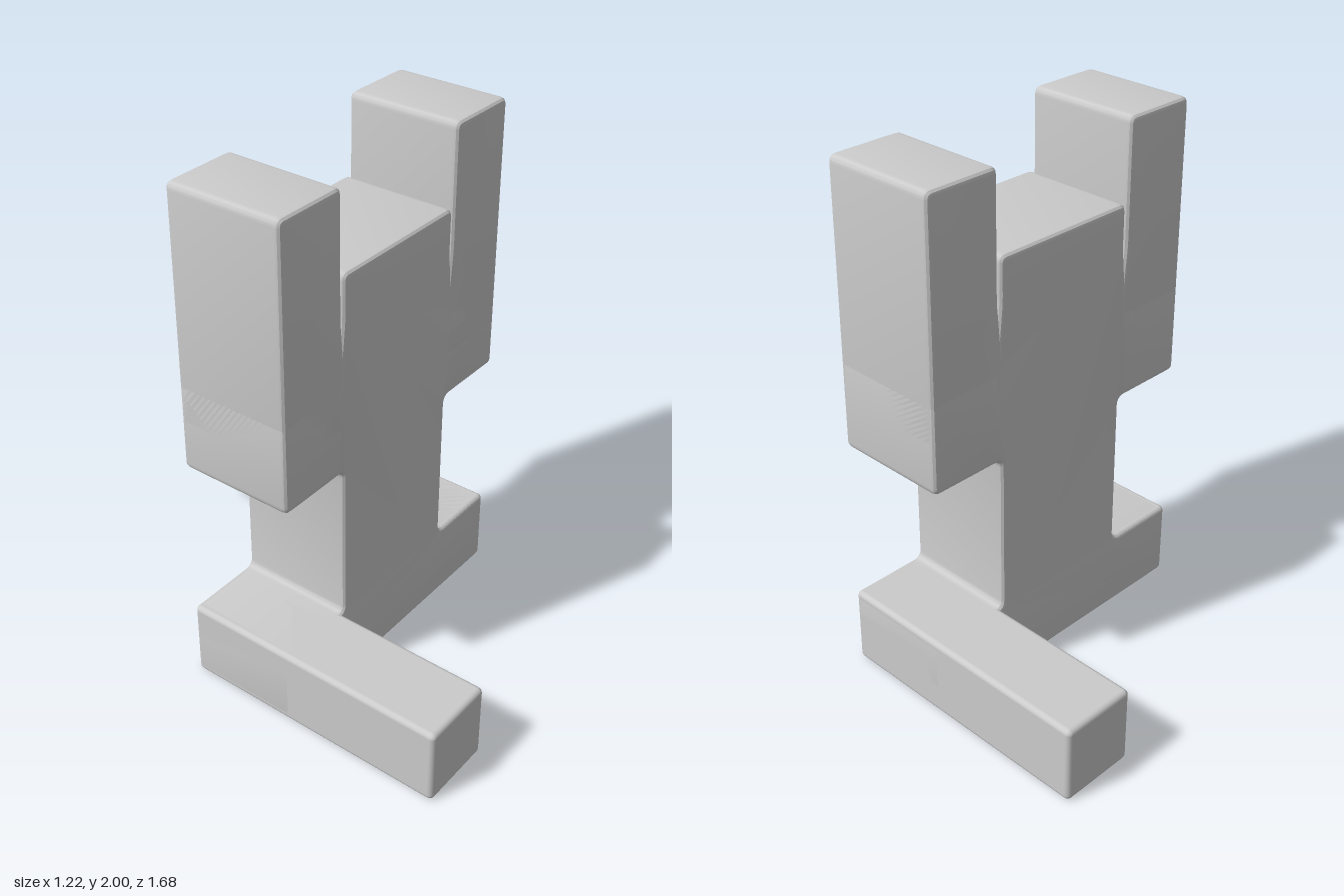
import * as THREE from 'three';
import { toCreasedNormals } from 'three/addons/utils/BufferGeometryUtils.js';
import { RoundedBoxGeometry } from 'three/addons/geometries/RoundedBoxGeometry.js';

const HALF_DEPTH = 0.2275, BEVEL = 0.02;
const material = new THREE.MeshStandardMaterial({ color: 0xcccccc });

// Closed outline with rounded corners
function roundedShape(points, radius) {
  const pts = points.map(([x, y]) => new THREE.Vector2(x, y));
  const shape = new THREE.Shape();
  pts.forEach((p, i) => {
    const prev = pts[(i + pts.length - 1) % pts.length];
    const next = pts[(i + 1) % pts.length];
    const a = prev.clone().sub(p).setLength(radius).add(p);
    const b = next.clone().sub(p).setLength(radius).add(p);
    if (i === 0) shape.moveTo(a.x, a.y);
    else shape.lineTo(a.x, a.y);
    shape.quadraticCurveTo(p.x, p.y, b.x, b.y);
  });
  shape.closePath();
  return shape;
}

// Slab of the common depth with softened front and back edges
function slab(name, points) {
  const geometry = new THREE.ExtrudeGeometry(roundedShape(points, 0.028), {
    depth: 2 * (HALF_DEPTH - BEVEL), curveSegments: 4,
    bevelEnabled: true, bevelSize: BEVEL, bevelThickness: BEVEL,
    bevelOffset: -BEVEL, bevelSegments: 3,
  });
  geometry.translate(0, 0, BEVEL - HALF_DEPTH);
  const mesh = new THREE.Mesh(toCreasedNormals(geometry, 0.4), material);
  mesh.name = name;
  return mesh;
}

export function createModel() {
  const group = new THREE.Group();
  group.name = 'figure';

  // Body with feet, waist, shoulders and head; the head edges flare into the horns
  const half = [
    [0.61, 0], [0.61, 0.305], [0.302, 0.305], [0.302, 0.93], [0.61, 0.93],
    [0.61, 1.29], [0.327, 1.29], [0.302, 1.53], [0.302, 1.695],
  ];
  const mirrored = half.map(([x, y]) => [-x, y]).reverse();
  group.add(slab('body', [...half, ...mirrored]));

  // Upright arms; the tilted inner edge closes the groove beside the head
  const arm = [
    [0.287, 1.1], [0.61, 1.1], [0.61, 2], [0.309, 2], [0.309, 1.53], [0.287, 1.29],
  ];
  group.add(slab('leftArm', arm));
  group.add(slab('rightArm', arm.map(([x, y]) => [-x, y]).reverse()));

  // Legs: the right one reaches forward, the left one backward
  const length = 0.84 + HALF_DEPTH;
  for (const [name, side] of [['leftLeg', 1], ['rightLeg', -1]]) {
    const leg = new THREE.Mesh(new RoundedBoxGeometry(0.3, 0.305, length, 3, BEVEL), material);
    leg.name = name;
    leg.position.set(side * 0.46, 0.1525, side * (HALF_DEPTH - length / 2));
    group.add(leg);
  }
  return group;
}
